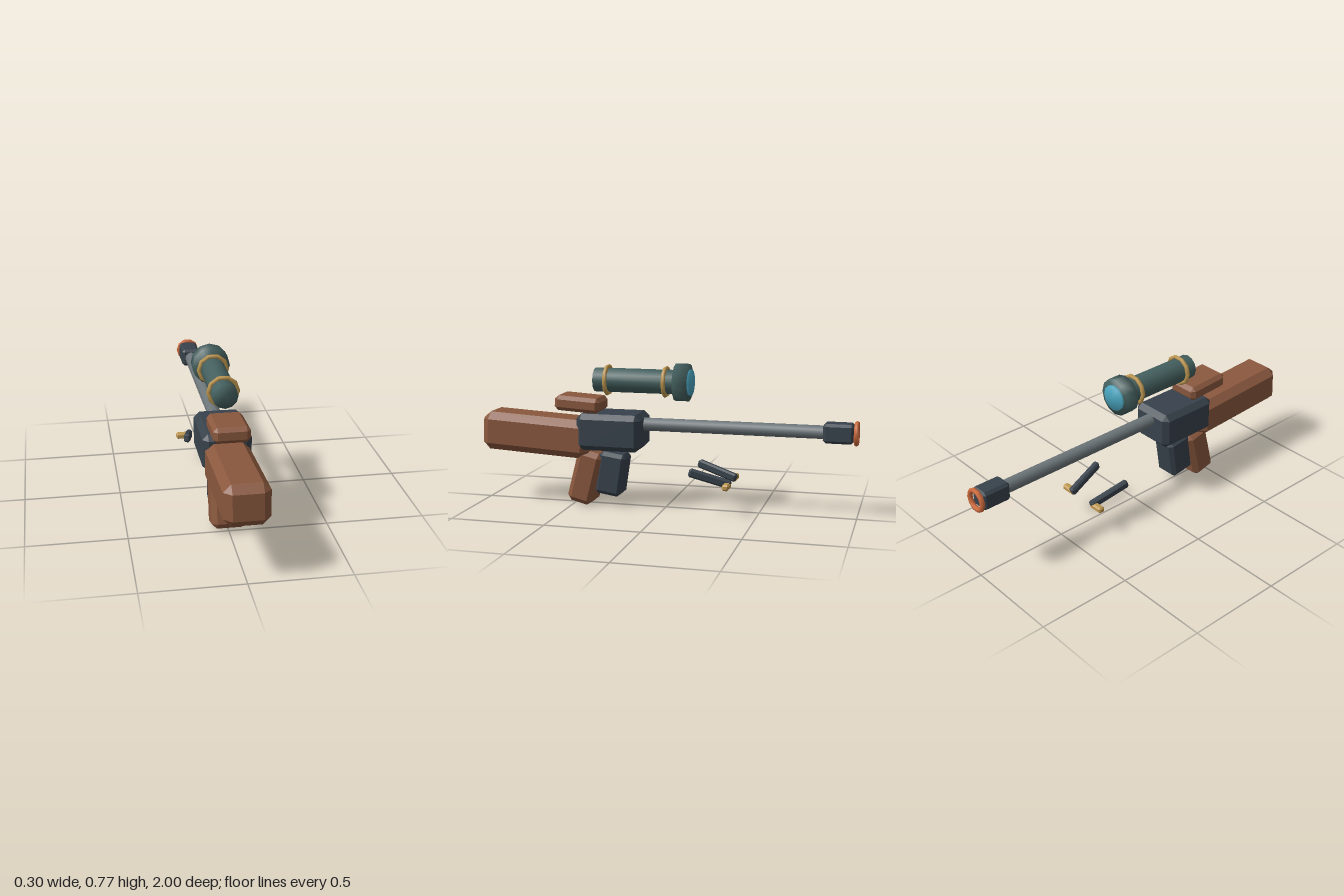
import * as THREE from 'three';
import { ConvexGeometry } from 'three/addons/geometries/ConvexGeometry.js';
import { mergeVertices } from 'three/addons/utils/BufferGeometryUtils.js';

const COLORS = {
  wood: 0x8a583e, dark: 0x38424c, steel: 0x6c7579,
  teal: 0x44605f, gold: 0xbf9850, orange: 0xd06c3e, glass: 0x4aa6c0,
};

// Box with every edge and corner cut by a flat chamfer
function chamferBox(w, h, d, c) {
  const pts = [];
  for (const sx of [-1, 1]) for (const sy of [-1, 1]) for (const sz of [-1, 1]) {
    for (const axis of [0, 1, 2]) {
      const half = [w / 2, h / 2, d / 2].map((v, i) => (i === axis ? v : v - c));
      pts.push(new THREE.Vector3(sx * half[0], sy * half[1], sz * half[2]));
    }
  }
  return new ConvexGeometry(pts);
}

// Cylinder along z between z0 and z1, with normals blended over the rims
function softTube(r, z0, z1, sides = 12) {
  let g = new THREE.CylinderGeometry(r, r, Math.abs(z1 - z0), sides);
  g.deleteAttribute('uv');
  g.deleteAttribute('normal');
  g = mergeVertices(g);
  g.computeVertexNormals();
  g.rotateX(Math.PI / 2);
  g.translate(0, 0, (z0 + z1) / 2);
  return g;
}

export function createModel() {
  const model = new THREE.Group();
  const add = (name, geo, color, pos, rot = [0, 0, 0], flat = true) => {
    const mat = new THREE.MeshStandardMaterial({ color: COLORS[color], flatShading: flat });
    const mesh = new THREE.Mesh(geo, mat);
    mesh.name = name;
    mesh.position.set(...pos);
    mesh.rotation.set(...rot, 'YXZ');
    model.add(mesh);
    return mesh;
  };

  // Body and wooden furniture
  add('receiver', chamferBox(0.244, 0.194, 0.348, 0.028), 'dark', [0, 0.408, 0.289]);
  add('stock', chamferBox(0.22, 0.205, 0.6, 0.038), 'wood', [0, 0.375, 0.7], [-0.055, 0, 0]);
  add('cheekRest', chamferBox(0.18, 0.08, 0.248, 0.02), 'wood', [0, 0.548, 0.466], [-0.06, 0, 0]);
  add('grip', chamferBox(0.174, 0.29, 0.14, 0.026), 'wood', [0, 0.156, 0.43], [-0.25, 0, 0]);
  add('magazine', chamferBox(0.14, 0.23, 0.146, 0.02), 'dark', [0, 0.178, 0.293], [-0.15, 0, 0]);

  // Barrel and muzzle
  add('barrel', softTube(0.035, 0.13, -0.84), 'steel', [0, 0.447, 0], undefined, false);
  add('muzzle', chamferBox(0.1, 0.1, 0.155, 0.014), 'dark', [0, 0.447, -0.899]);
  add('muzzleRing', new THREE.TorusGeometry(0.052, 0.013, 6, 10), 'orange', [0, 0.447, -0.987], undefined, false);

  // Sight
  const sightY = 0.675;
  add('sightTube', softTube(0.064, 0.383, -0.08), 'teal', [0, sightY, 0], undefined, false);
  add('sightBell', softTube(0.098, -0.053, -0.125), 'teal', [0, sightY, 0], undefined, false);
  add('sightLens', softTube(0.068, -0.11, -0.139), 'glass', [0, sightY, 0], undefined, false);
  for (const z of [0.315, 0]) {
    add('sightRing', new THREE.TorusGeometry(0.073, 0.0115, 6, 10), 'gold', [0, sightY, z], undefined, false);
  }

  // Splayed legs with feet, mirrored
  for (const s of [1, -1]) {
    const side = s > 0 ? 'left' : 'right';
    add(side + 'Leg', chamferBox(0.035, 0.044, 0.226, 0.009), 'dark',
      [s * 0.098, 0.196, -0.257], [-0.29, s * 0.19, 0]);
    add(side + 'Foot', chamferBox(0.08, 0.032, 0.036, 0.008), 'gold', [s * 0.112, 0.162, -0.347]);
  }
  return model;
}
